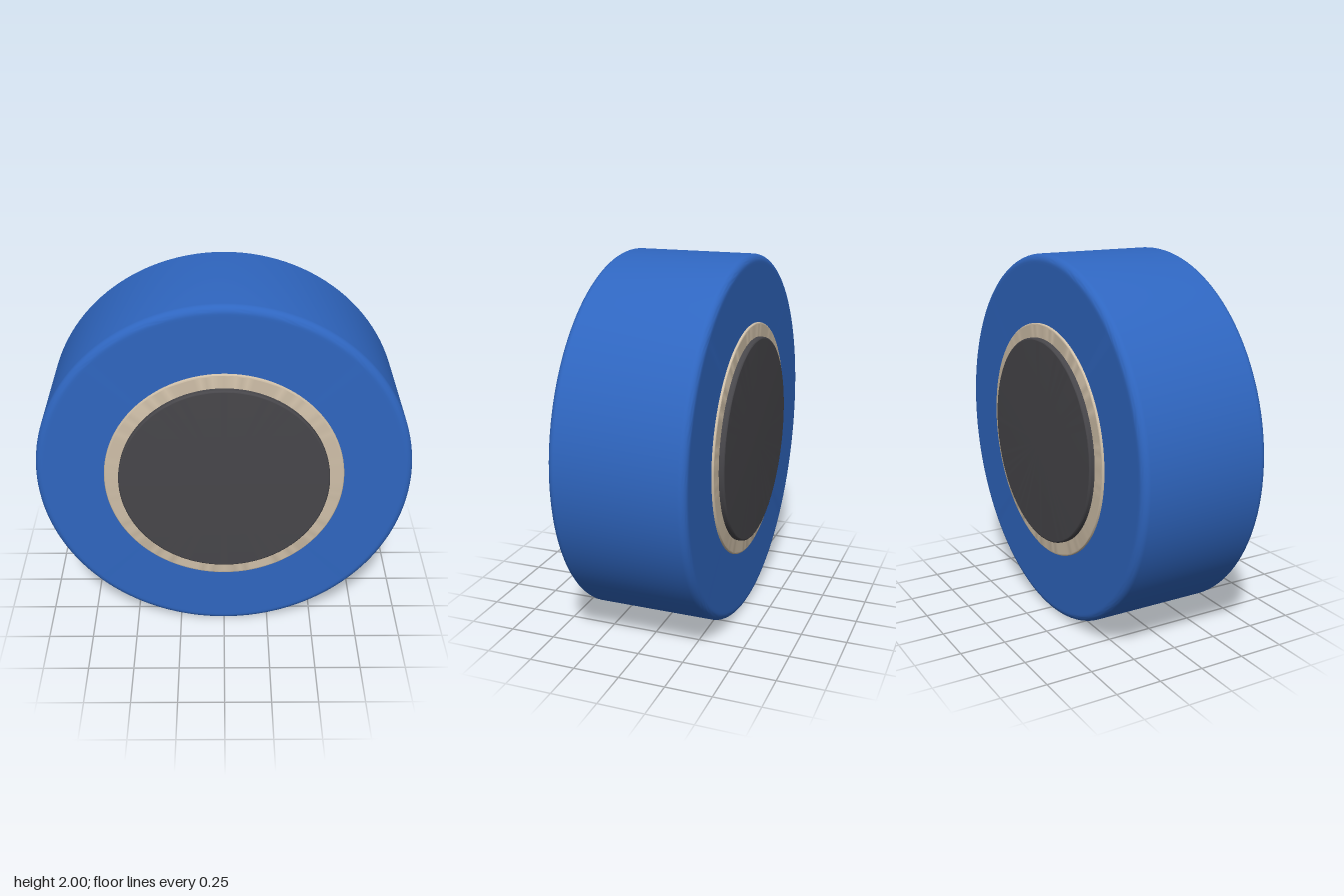
import * as THREE from 'three';
import { toCreasedNormals } from 'three/addons/utils/BufferGeometryUtils.js';

const material = (name, color) => {
  const m = new THREE.MeshStandardMaterial({ color });
  m.name = name;
  return m;
};

// Solid disc along z, with its outer rims rounded by the given fillet
function roundedDisc(name, radius, halfWidth, fillet, mat) {
  const steps = 8;
  const profile = [new THREE.Vector2(0, -halfWidth), new THREE.Vector2(radius - fillet * 1.3, -halfWidth)];
  for (const side of [-1, 1]) {
    for (let i = 0; i <= steps; i++) {
      const t = (side < 0 ? i - steps : i) / steps * Math.PI / 2;
      profile.push(new THREE.Vector2(
        radius - fillet + fillet * Math.cos(t),
        side * (halfWidth - fillet) + fillet * Math.sin(t)
      ));
    }
  }
  profile.push(new THREE.Vector2(radius - fillet * 1.3, halfWidth), new THREE.Vector2(0, halfWidth));
  const geometry = toCreasedNormals(new THREE.LatheGeometry(profile, 128), 0.6);
  geometry.rotateX(Math.PI / 2);
  const mesh = new THREE.Mesh(geometry, mat);
  mesh.name = name;
  mesh.position.y = 1;
  return mesh;
}

export function createModel() {
  const group = new THREE.Group();
  group.name = 'wheel';
  group.add(
    // Wide outer tread
    roundedDisc('tyre', 1, 0.36, 0.04, material('blue', 0x2f66c0)),
    // Thin collar showing on both faces
    roundedDisc('collarRing', 0.637, 0.372, 0.008, material('beige', 0xcfbfa8)),
    // Central hub, standing proud of the collar
    roundedDisc('hub', 0.56, 0.4, 0.01, material('charcoal', 0x47464a))
  );
  return group;
}
